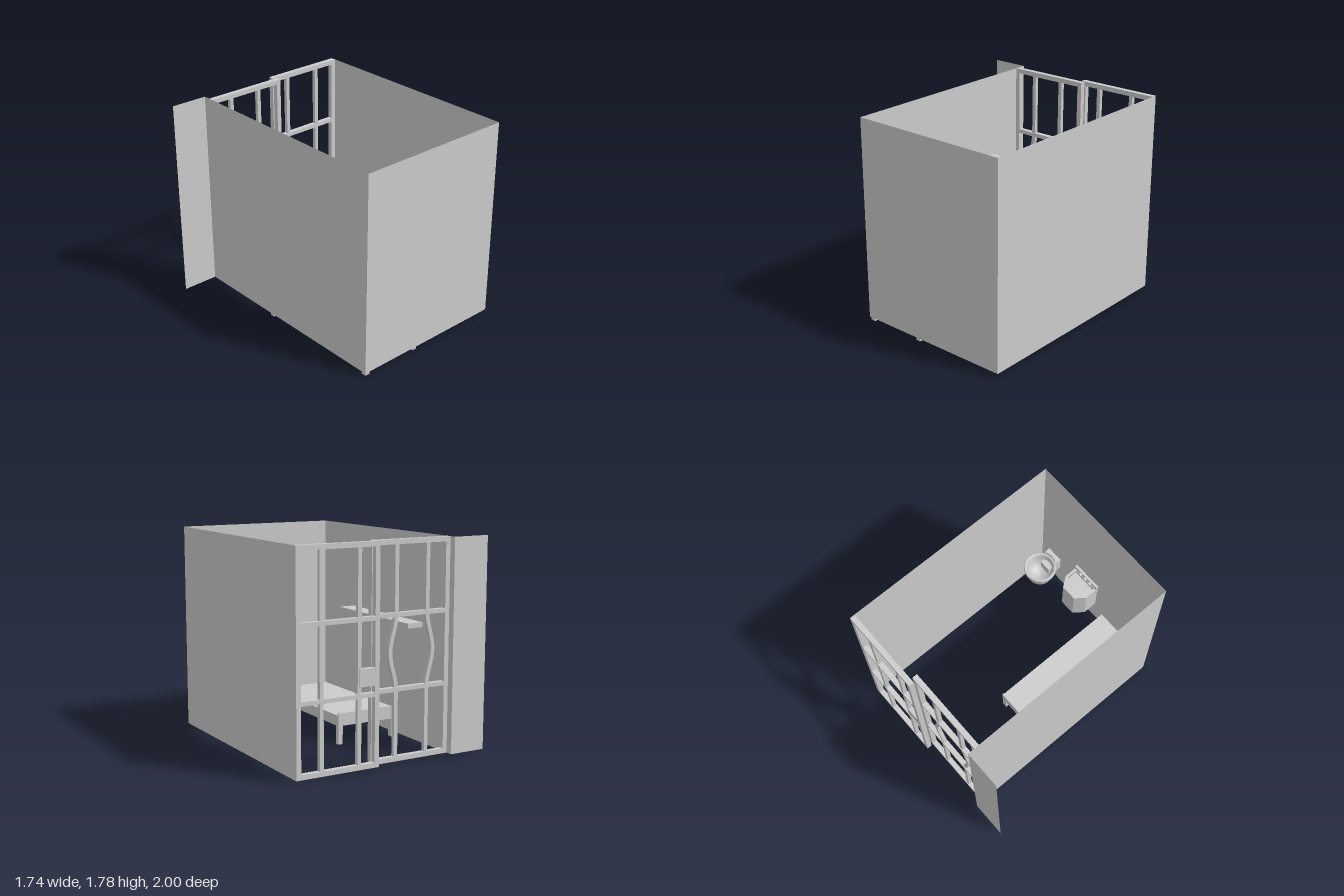
import * as THREE from 'three';

const mat = new THREE.MeshStandardMaterial({ color: 0xcccccc, side: THREE.DoubleSide });
const flat = new THREE.MeshStandardMaterial({ color: 0xcccccc, flatShading: true });
const FLOOR = 0.03, TOP = 1.785;

function add(parent, name, geometry, material = flat) {
  const mesh = new THREE.Mesh(geometry, material);
  mesh.name = name;
  parent.add(mesh);
  return mesh;
}

// Box given by its extents along each axis
function box(parent, name, [x0, x1], [y0, y1], [z0, z1]) {
  const m = add(parent, name, new THREE.BoxGeometry(x1 - x0, y1 - y0, z1 - z0));
  m.position.set((x0 + x1) / 2, (y0 + y1) / 2, (z0 + z1) / 2);
  return m;
}

function group(parent, name) {
  const g = new THREE.Group();
  g.name = name;
  parent.add(g);
  return g;
}

// Thin upright wall between two floor points
function wall(parent, name, xa, za, xb, zb) {
  const m = add(parent, name, new THREE.PlaneGeometry(Math.hypot(xb - xa, zb - za), TOP - FLOOR), mat);
  m.position.set((xa + xb) / 2, (FLOOR + TOP) / 2, (za + zb) / 2);
  m.rotation.y = -Math.atan2(zb - za, xb - xa);
}

// Square bar pushed sideways in the middle
function bentBar(parent, x, y0, y1, z0, z1, w, push) {
  const left = [], right = [], n = 10;
  for (let i = 0; i <= n; i++) {
    const t = i / n;
    const cx = x + push * Math.sin(Math.PI * t) ** 2;
    const y = y0 + (y1 - y0) * t;
    left.push(new THREE.Vector2(cx - w / 2, y));
    right.unshift(new THREE.Vector2(cx + w / 2, y));
  }
  const geo = new THREE.ExtrudeGeometry(new THREE.Shape([...left, ...right]), { depth: z1 - z0, bevelEnabled: false });
  add(parent, 'bentBar', geo).position.z = z0;
}

// Grille: outer frame, two cross rails and inner bars (push bends the middle section)
function grille(parent, name, x0, x1, z0, z1, bars) {
  const g = group(parent, name), f = 0.04, w = 0.034, levels = [0.61, 1.2];
  for (const x of [x0, x1 - f]) box(g, 'frameStile', [x, x + f], [FLOOR, TOP], [z0, z1]);
  for (const y of [FLOOR, TOP - f]) box(g, 'frameRail', [x0 + f, x1 - f], [y, y + f], [z0, z1]);
  for (const y of levels) box(g, 'crossRail', [x0 + f, x1 - f], [y - w / 2, y + w / 2], [z0, z1]);
  const za = z0 + 0.006, zb = z1 - 0.006;
  for (const [x, push] of bars) {
    const span = [x - w / 2, x + w / 2];
    if (!push) { box(g, 'bar', span, [FLOOR + f, TOP - f], [za, zb]); continue; }
    box(g, 'bar', span, [FLOOR + f, levels[0]], [za, zb]);
    bentBar(g, x, levels[0], levels[1], za, zb, w, push);
    box(g, 'bar', span, [levels[1], TOP - f], [za, zb]);
  }
  return g;
}

// Outline in plan (x, z) extruded upward from y0 to y1
function prism(parent, name, outline, hole, y0, y1) {
  const toShape = (pts) => pts.map(([x, z]) => new THREE.Vector2(x, -z));
  const shape = new THREE.Shape(toShape(outline));
  if (hole) shape.holes.push(new THREE.Path(toShape(hole)));
  const geo = new THREE.ExtrudeGeometry(shape, { depth: y1 - y0, bevelEnabled: false });
  geo.rotateX(-Math.PI / 2);
  add(parent, name, geo).position.y = y0;
}

export function createModel() {
  const root = new THREE.Group();
  root.name = 'cell';

  // Walls
  const walls = group(root, 'walls');
  wall(walls, 'frontWall', -0.55, 1, 0.872, 1);
  wall(walls, 'rightWall', -0.55, 1, -0.55, -1);
  wall(walls, 'leftWall', 0.872, 1, 0.872, -1);
  wall(walls, 'sidePanel', -0.872, -1, -0.55, -1);

  // Fixed grille with lock box, and sliding door with spread bars
  const fixed = grille(root, 'fixedGrille', 0.142, 0.87, -1, -0.955, [[0.318, 0], [0.65, 0]]);
  box(fixed, 'lockBox', [0.16, 0.32], [0.68, 0.82], [-1, -0.955]);
  grille(root, 'slidingDoor', -0.55, 0.18, -0.94, -0.895, [[-0.055, 0.055], [-0.345, -0.055]]);

  // Bed
  const bed = group(root, 'bed');
  box(bed, 'bedBase', [-0.543, 0.032], [0.16, 0.25], [-0.19, 0.99]);
  box(bed, 'footBoard', [-0.543, 0.032], [0.16, 0.27], [-0.207, -0.19]);
  for (const x of [-0.541, -0.012])
    for (const z of [-0.204, 0.948]) box(bed, 'bedLeg', [x, x + 0.043], [0, 0.2], [z, z + 0.042]);

  // Shelf
  box(root, 'shelf', [-0.549, -0.402], [1.01, 1.05], [-0.583, 0.5]);

  // Sink: faceted body with open basin, back ledge and taps
  const sink = group(root, 'sink');
  const outer = [[0.125, 0.985], [0.125, 0.853], [0.192, 0.765], [0.335, 0.765], [0.402, 0.853], [0.402, 0.985]];
  const inner = [[0.15, 0.962], [0.15, 0.862], [0.205, 0.787], [0.322, 0.787], [0.377, 0.862], [0.377, 0.962]];
  prism(sink, 'sinkBody', outer, null, 0.35, 0.58);
  prism(sink, 'sinkRim', outer, inner, 0.58, 0.68);
  box(sink, 'backLedge', [0.122, 0.405], [0.62, 0.72], [0.967, 0.99]);
  for (const x of [0.205, 0.263, 0.322]) {
    const tap = add(sink, 'tap', new THREE.CylinderGeometry(0.016, 0.016, 0.03, 10));
    tap.rotation.x = Math.PI / 2;
    tap.position.set(x, 0.695, 0.96);
  }

  // Wall-hung toilet: lathed bowl and mounting block
  const toilet = group(root, 'toilet');
  const profile = [[0, 0.17], [0.06, 0.17], [0.085, 0.21], [0.115, 0.28], [0.132, 0.37], [0.147, 0.385], [0.147, 0.415],
    [0.142, 0.42], [0.125, 0.42], [0.12, 0.4], [0.105, 0.32], [0.07, 0.265], [0, 0.25]];
  const bowl = add(toilet, 'bowl', new THREE.LatheGeometry(profile.map(([r, y]) => new THREE.Vector2(r, y)), 32), mat);
  bowl.position.set(0.705, 0, 0.822);
  const mount = [[0.624, 1], [0.63, 0.935], [0.65, 0.955], [0.705, 0.965], [0.76, 0.955], [0.777, 0.935], [0.783, 1]];
  prism(toilet, 'wallMount', mount, null, 0.29, 0.45);
  box(toilet, 'neck', [0.65, 0.76], [0.2, 0.36], [0.88, 0.998]);

  return root;
}
